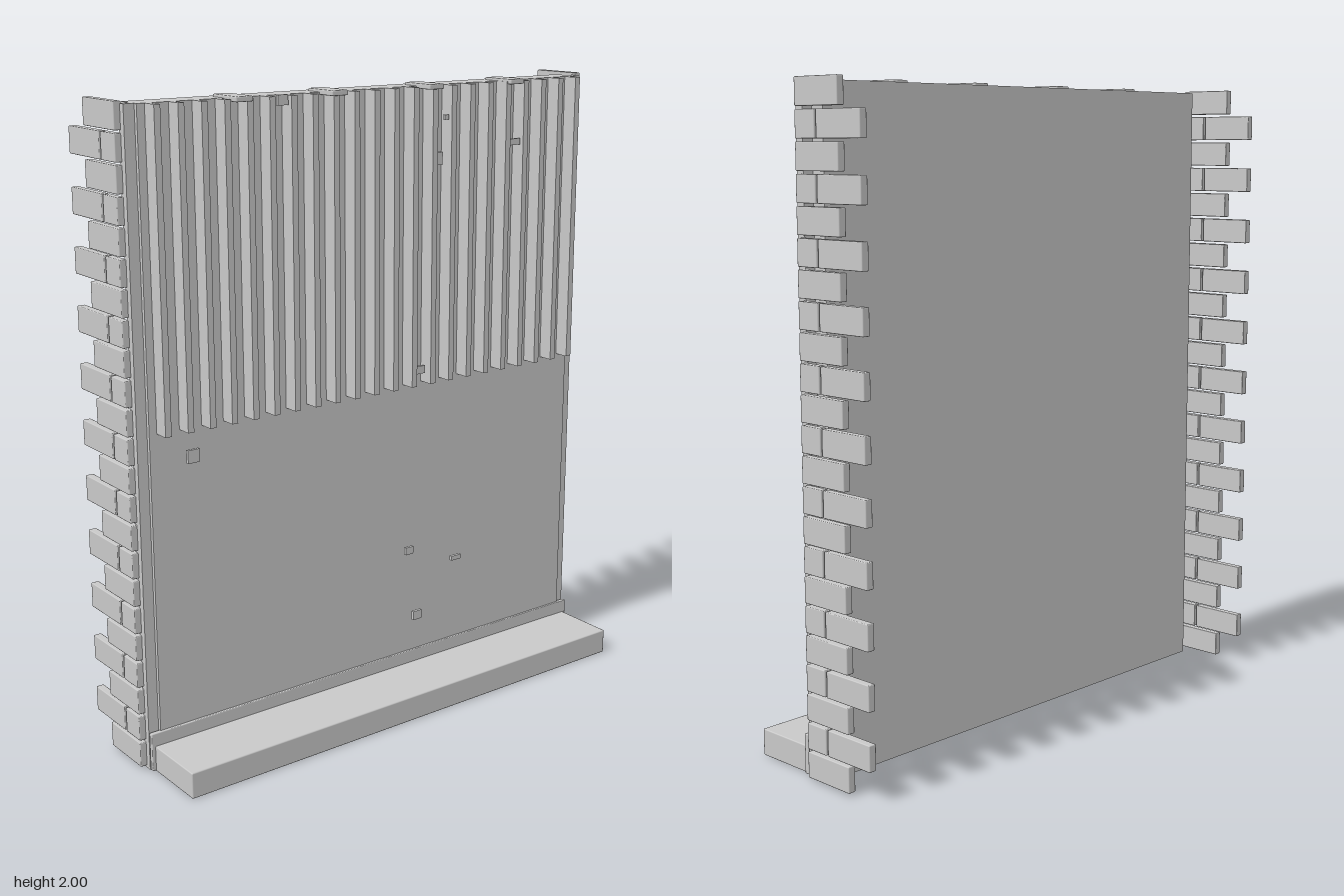
import * as THREE from 'three';
import { RoundedBoxGeometry } from 'three/addons/geometries/RoundedBoxGeometry.js';

export function createModel() {
  const model = new THREE.Group();
  const stone = new THREE.MeshStandardMaterial({ color: 0xc8c8c8 });
  stone.name = 'light grey stone';

  // box given by its minimum and maximum on each axis, with an optional bevel
  function block(name, x0, x1, y0, y1, z0, z1, parent = model, bevel = 0) {
    const size = [x1 - x0, y1 - y0, z1 - z0];
    const geometry = bevel ? new RoundedBoxGeometry(...size, 1, bevel) : new THREE.BoxGeometry(...size);
    const mesh = new THREE.Mesh(geometry, stone);
    mesh.position.set((x0 + x1) / 2, (y0 + y1) / 2, (z0 + z1) / 2);
    mesh.name = name;
    parent.add(mesh);
  }

  // wall, recessed edge piers, skirting and front ledge
  block('wall', -0.822, 0.822, 0, 1.992, -0.044, 0.042);
  for (const s of [-1, 1]) {
    block('edgePier', s * 0.838 - 0.018, s * 0.838 + 0.018, 0, 1.992, 0.002, 0.03);
  }
  block('skirting', -0.857, 0.857, 0.003, 0.125, 0.034, 0.05, model, 0.003);
  block('ledge', -0.846, 0.846, 0, 0.083, -0.003, 0.26, model, 0.004);

  // upright fins on the upper half
  const fins = new THREE.Group();
  fins.name = 'fins';
  model.add(fins);
  for (let i = 0; i < 22; i++) {
    const x = -0.787 + i * 0.075;
    block('fin', x - 0.01, x + 0.01, 1.055, 1.992, 0.04, 0.092, fins);
  }

  // brick returns on both sides, alternating one long brick with a half and a long one
  const pitch = 2 / 23;
  for (const s of [-1, 1]) {
    const bricks = new THREE.Group();
    bricks.name = s > 0 ? 'leftBricks' : 'rightBricks';
    model.add(bricks);
    const x = s * 0.864;
    for (let row = 0; row < 23; row++) {
      const y0 = 0.007 + row * pitch, y1 = y0 + 0.079;
      const spans = row % 2 ? [[-0.071, 0.011], [-0.258, -0.078]] : [[-0.168, 0.011]];
      for (const [a, b] of spans) block('brick', x - 0.0125, x + 0.0125, y0, y1, a, b, bricks, 0.003);
    }
  }

  // flat clips over the top edge
  for (const x of [-0.515, -0.185, 0.18, 0.51]) {
    block('topClip', x - 0.029, x + 0.029, 1.984, 2, -0.017, 0.107, model, 0.004);
  }

  // scattered chips: x, y, width, height
  const chips = [
    [-0.7, 0.98, 0.04, 0.04], [0.105, 0.5, 0.03, 0.025], [0.305, 0.43, 0.04, 0.015],
    [0.14, 0.265, 0.035, 0.03], [0.14, 1.105, 0.045, 0.025], [0.345, 1.1, 0.012, 0.03],
    [-0.37, 1.98, 0.035, 0.03], [0.21, 1.77, 0.03, 0.04], [0.24, 1.895, 0.015, 0.015],
    [0.525, 1.8, 0.045, 0.02],
  ];
  for (const [x, y, w, h] of chips) {
    block('chip', x - w / 2, x + w / 2, y - h / 2, y + h / 2, 0.073, 0.083);
  }
  return model;
}
